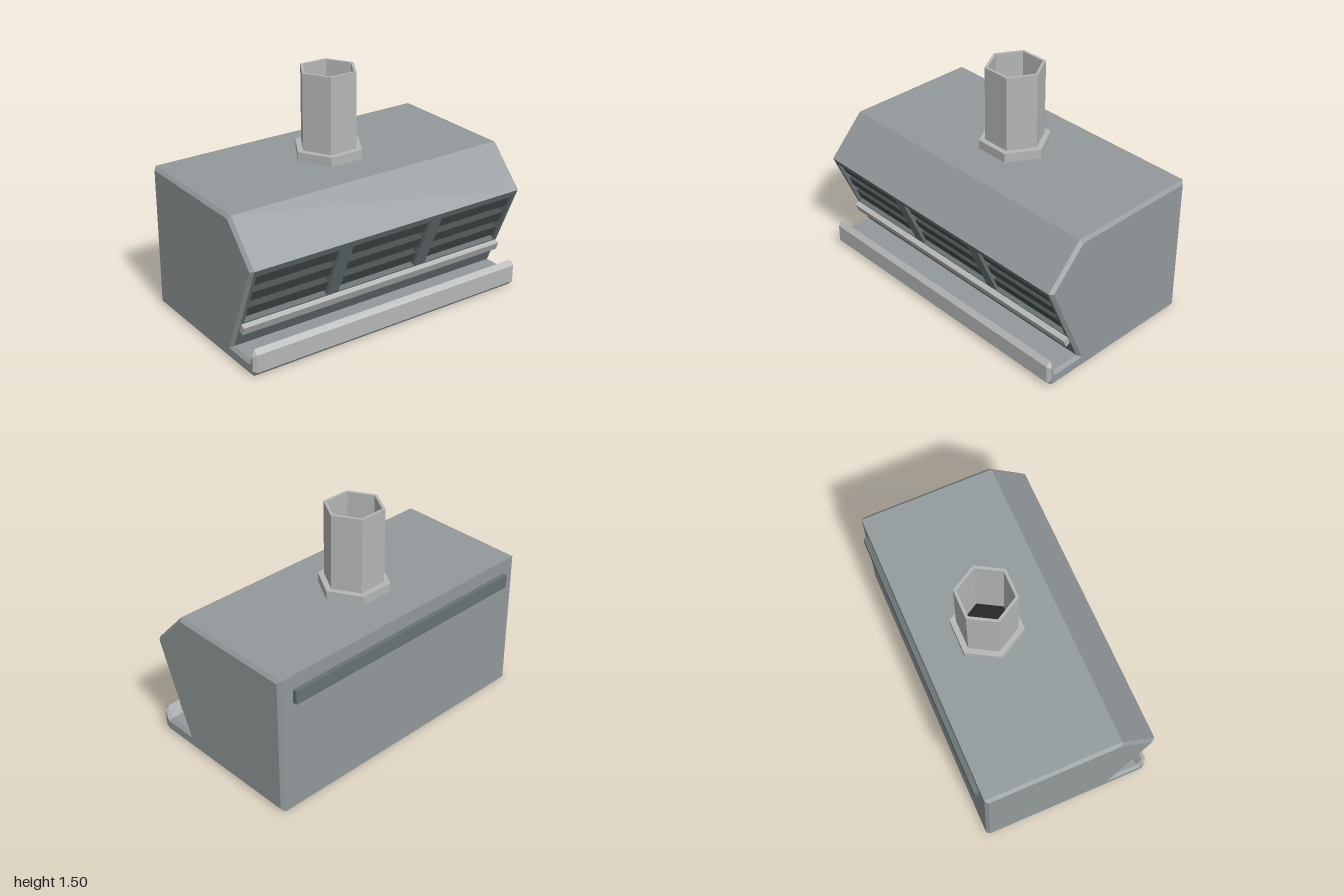
import * as THREE from 'three';

const paint = color => new THREE.MeshStandardMaterial({ color, flatShading: true });
const bodyGrey = paint(0x939a9b);
const lightGrey = paint(0xb4b7b6);
const frameGrey = paint(0x687273);
const slatGrey = paint(0x454b4b);
const dark = paint(0x1b1d1d);

function add(parent, name, geometry, material, x = 0, y = 0, z = 0) {
  const mesh = new THREE.Mesh(geometry, material);
  mesh.name = name;
  mesh.position.set(x, y, z);
  parent.add(mesh);
  return mesh;
}

const box = (w, h, d) => new THREE.BoxGeometry(w, h, d);

// Closed rectangle, usable as an outline or as a hole
function rect(path, x0, y0, x1, y1) {
  path.moveTo(x0, y0);
  path.lineTo(x1, y0);
  path.lineTo(x1, y1);
  path.lineTo(x0, y1);
  path.closePath();
  return path;
}

// Flat plate with rectangular holes
function plate(outline, holes, depth) {
  const shape = rect(new THREE.Shape(), ...outline);
  for (const h of holes) shape.holes.push(rect(new THREE.Path(), ...h));
  return new THREE.ExtrudeGeometry(shape, { depth, bevelEnabled: false });
}

// Side profile as (z, y), running counterclockwise from the bottom rear
const profile = [
  [-0.55, 0], [0.545, 0], [0.58, 0.035], [0.58, 0.15], [0.55, 0.18],
  [0.52, 0.095], [0.33, 0.095], [0.58, 0.685], [0.34, 0.94], [-0.55, 0.94],
].map(p => new THREE.Vector2(...p));
const BOTTOM = 0, SLOPE = 6;
const LIP = [1, 2, 3, 4];
const BODY = [0, 5, 6, 7, 8, 9];

// Profile moved inward by s, for the bevelled ends
function inset(points, s) {
  const n = points.length;
  const inward = (a, b) => {
    const d = b.clone().sub(a).normalize();
    return new THREE.Vector2(-d.y, d.x);
  };
  return points.map((p, i) => {
    const n1 = inward(points[(i + n - 1) % n], p);
    const n2 = inward(p, points[(i + 1) % n]);
    const move = n1.clone().add(n2).multiplyScalar(s / (1 + n1.dot(n2)));
    return p.clone().add(move);
  });
}

// Chosen profile edges lofted across x; the bottom and the slope stay open for framed plates
function loft(edges, capped) {
  const small = inset(profile, 0.02);
  const rings = [[-1, small], [-0.98, profile], [0.98, profile], [1, small]];
  const n = profile.length;
  const positions = [], index = [];
  for (const [x, pts] of rings) for (const p of pts) positions.push(x, p.y, p.x);
  for (let r = 0; r < 3; r++) {
    for (const k of edges) {
      if (r === 1 && (k === BOTTOM || k === SLOPE)) continue;
      const a = r * n + k, b = r * n + (k + 1) % n;
      index.push(a, a + n, b, b, a + n, b + n);
    }
  }
  if (capped) {
    for (const [a, b, c] of THREE.ShapeUtils.triangulateShape(small, [])) {
      index.push(a, b, c, 3 * n + a, 3 * n + c, 3 * n + b);
    }
  }
  const geometry = new THREE.BufferGeometry();
  geometry.setAttribute('position', new THREE.Float32BufferAttribute(positions, 3));
  geometry.setIndex(index);
  const flat = geometry.toNonIndexed();
  flat.computeVertexNormals();
  return flat;
}

// Upright hexagonal ring with corners on the x axis
function hexRing(outer, inner, height) {
  const hexagon = r => Array.from({ length: 6 }, (_, i) =>
    new THREE.Vector2(r * Math.cos(i * Math.PI / 3), r * Math.sin(i * Math.PI / 3)));
  const shape = new THREE.Shape(hexagon(outer));
  shape.holes.push(new THREE.Path(hexagon(inner)));
  return new THREE.ExtrudeGeometry(shape, { depth: height, bevelEnabled: false }).rotateX(-Math.PI / 2);
}

export function createModel() {
  const model = new THREE.Group();
  model.name = 'ventUnit';
  add(model, 'housing', loft(BODY, true), bodyGrey);
  add(model, 'frontLip', loft(LIP, false), lightGrey);

  // Underside with a recessed intake; the recess walls are darker
  const bottom = plate([-0.98, -0.549, 0.98, 0.545], [[-0.79, -0.34, 0.79, 0.23]], 0.07);
  add(model, 'bottomFrame', bottom.rotateX(Math.PI / 2), [bodyGrey, frameGrey], 0, 0.07, 0);
  add(model, 'intakePanel', box(1.62, 0.01, 0.61), dark, 0, 0.076, -0.055);

  // Sloping front, built in its own plane: y runs up the slope, z points out
  const front = new THREE.Group();
  front.name = 'slopedFront';
  const low = profile[SLOPE], high = profile[SLOPE + 1];
  const slope = high.clone().sub(low);
  front.position.set(0, low.y, low.x);
  front.rotation.x = Math.atan2(slope.x, slope.y);
  model.add(front);
  const along = y => (y - low.y) * slope.length() / slope.y;

  const centres = [-0.667, 0, 0.667], half = 0.29;
  const v0 = along(0.28), v1 = along(0.645);
  const windows = centres.map(x => [x - half, v0, x + half, v1]);
  const frame = plate([-0.98, 0, 0.98, slope.length()], windows, 0.08);
  add(front, 'grilleFrame', frame, frameGrey, 0, 0, -0.08);
  add(front, 'grilleBack', box(1.94, v1 - v0 + 0.02, 0.01), dark, 0, (v0 + v1) / 2, -0.084);

  // Three thick slats in every window
  for (const x of centres) {
    for (const y of [0.337, 0.46, 0.583]) {
      add(front, 'slat', box(2 * half, 0.073, 0.05), slatGrey, x, along(y), -0.045);
    }
  }
  add(front, 'frontRail', box(1.95, 0.058, 0.04), lightGrey, 0, along(0.245), 0.015);

  // Mounting rail on the back
  add(model, 'backRail', box(1.8, 0.09, 0.04), frameGrey, 0, 0.8, -0.56);

  // Open hexagonal pipe on a collar
  add(model, 'pipeCollar', hexRing(0.23, 0.18, 0.06), lightGrey, 0, 0.94, -0.11);
  add(model, 'pipe', hexRing(0.19, 0.17, 0.56), lightGrey, 0, 0.94, -0.11);
  const floor = new THREE.CircleGeometry(0.18, 6).rotateX(-Math.PI / 2);
  add(model, 'pipeFloor', floor, dark, 0, 0.945, -0.11);
  return model;
}
